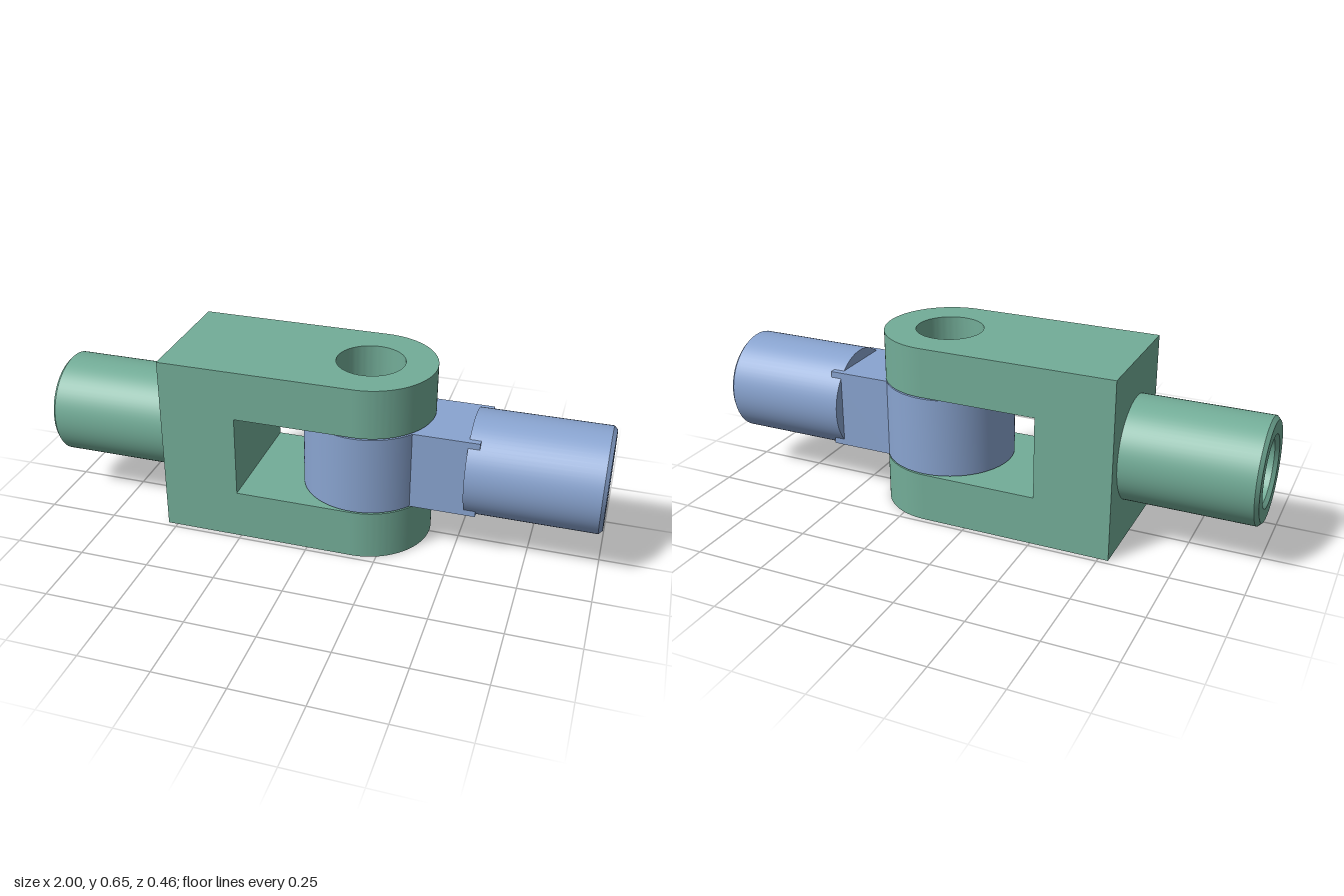
import * as THREE from 'three';
import { toCreasedNormals } from 'three/addons/utils/BufferGeometryUtils.js';

const AXIS_Y = 0.326; // height of the shaft axis
const PIN_X = 0.16;   // centre of the pin hole
const PIN_R = 0.12;
const WIDTH = 0.232;  // half width of the fork and radius of its rounded ends

export function createModel() {
  const green = new THREE.MeshStandardMaterial({ color: 0x73ad98 });
  green.name = 'sage green';
  const blue = new THREE.MeshStandardMaterial({ color: 0x89a4d0 });
  blue.name = 'steel blue';

  const model = new THREE.Group();
  model.name = 'clevisJoint';

  function add(parent, name, geometry, material) {
    const mesh = new THREE.Mesh(geometry, material);
    mesh.name = name;
    parent.add(mesh);
    return mesh;
  }

  // Flat plate with a round end about the pin hole; its straight end sits at endX
  function eyePlate(endX, halfWidth, y0, y1) {
    const a = Math.asin(halfWidth / WIDTH);
    const towardsRight = endX > PIN_X;
    const s = towardsRight ? 1 : -1;
    const shape = new THREE.Shape();
    shape.moveTo(endX, -s * halfWidth);
    shape.lineTo(endX, s * halfWidth);
    const start = towardsRight ? a : Math.PI + a;
    shape.absarc(PIN_X, 0, WIDTH, start, start + 2 * Math.PI - 2 * a, false);
    shape.closePath();
    const hole = new THREE.Path();
    hole.absarc(PIN_X, 0, PIN_R, 0, Math.PI * 2, true);
    shape.holes.push(hole);
    const geo = new THREE.ExtrudeGeometry(shape, { depth: y1 - y0, bevelEnabled: false, curveSegments: 48 });
    geo.rotateX(-Math.PI / 2);
    geo.translate(0, y0, 0);
    return toCreasedNormals(geo, 0.5);
  }

  // Chamfered barrel with a blind bore, running from x = 0.535 to 1 (mirrored for side -1)
  function barrel(side) {
    const L = 0.465, c = 0.013, floor = 0.05;
    const profile = [
      [0, 0], [0.185, 0], [0.185, L - c], [0.185 - c, L],
      [0.125, L], [0.112, L - c], [0.112, floor], [0, floor],
    ].map(([r, y]) => new THREE.Vector2(r, y));
    const geo = new THREE.LatheGeometry(profile, 72);
    geo.rotateZ(-side * Math.PI / 2);
    geo.translate(side * 0.535, AXIS_Y, 0);
    return toCreasedNormals(geo, 0.5);
  }

  // Fork: solid block, two pierced arms and a threaded-end barrel
  const fork = new THREE.Group();
  fork.name = 'fork';
  model.add(fork);
  const block = new THREE.BoxGeometry(0.275, 0.652, WIDTH * 2);
  block.translate(-0.3975, 0.326, 0);
  add(fork, 'forkBlock', block, green);
  add(fork, 'lowerArm', eyePlate(-0.26, WIDTH, 0, 0.178), green);
  add(fork, 'upperArm', eyePlate(-0.26, WIDTH, 0.474, 0.652), green);
  add(fork, 'forkBarrel', barrel(-1), green);

  // Rod end: pierced eye whose square neck bites into the barrel
  const rodEnd = new THREE.Group();
  rodEnd.name = 'rodEnd';
  model.add(rodEnd);
  add(rodEnd, 'eyeAndNeck', eyePlate(0.575, 0.14, 0.183, 0.469), blue);
  add(rodEnd, 'rodBarrel', barrel(1), blue);

  return model;
}
